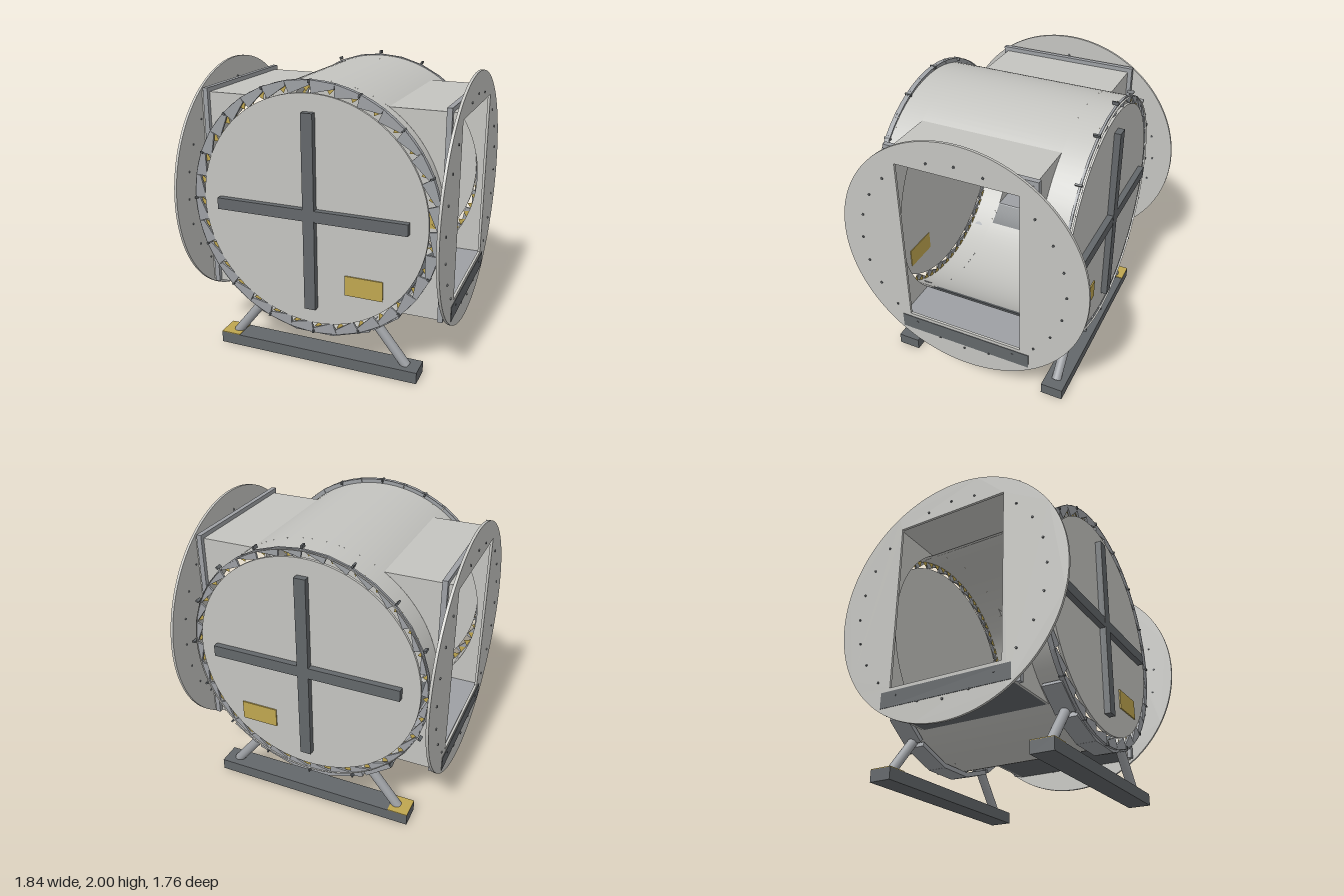
import * as THREE from 'three';
import { mergeGeometries } from 'three/addons/utils/BufferGeometryUtils.js';

export function createModel() {
  const mat = (name, color, side = THREE.FrontSide) => {
    const m = new THREE.MeshStandardMaterial({ color, side });
    m.name = name;
    return m;
  };
  const light = mat('lightGrey', 0xc4c4c0, THREE.DoubleSide);
  const steel = mat('steelGrey', 0x9da0a4, THREE.DoubleSide);
  const dark = mat('darkGrey', 0x63676a);
  const gold = mat('gold', 0xbfa650, THREE.DoubleSide);

  const CY = 1.12, R = 0.845, DUCT = 0.71, DZ = 0.49;
  const model = new THREE.Group();
  const body = new THREE.Group();
  body.name = 'body';
  body.position.y = CY;
  model.add(body);

  const add = (parent, name, geo, material) => {
    const m = new THREE.Mesh(geo, material);
    m.name = name;
    parent.add(m);
    return m;
  };
  // Box given by its lower and upper limits on each axis
  const box = (parent, name, material, x0, x1, y0, y1, z0, z1) => {
    const g = new THREE.BoxGeometry(x1 - x0, y1 - y0, z1 - z0);
    g.translate((x0 + x1) / 2, (y0 + y1) / 2, (z0 + z1) / 2);
    return add(parent, name, g, material);
  };
  const extrude = (shape, depth, z0 = 0, curveSegments = 24) =>
    new THREE.ExtrudeGeometry(shape, { depth, bevelEnabled: false, curveSegments }).translate(0, 0, z0);

  // Drum shell: full bands at the ends, arcs between the duct openings
  const shell = (z0, z1, start, length, segs) =>
    new THREE.CylinderGeometry(R, R, z1 - z0, segs, 1, true, start, length)
      .rotateX(Math.PI / 2).translate(0, 0, (z0 + z1) / 2);
  const half = Math.acos(DUCT / R);
  add(body, 'drumShell', mergeGeometries([
    shell(-0.69, -DZ, 0, Math.PI * 2, 96),
    shell(DZ, 0.66, 0, Math.PI * 2, 96),
    shell(-DZ, DZ, -half, half * 2, 24),
    shell(-DZ, DZ, Math.PI - half, half * 2, 24),
  ]), light);

  // Ends of the drum
  const STEPS = 32, step = Math.PI * 2 / STEPS;
  const polar = (r, a) => new THREE.Vector2(Math.cos(a) * r, Math.sin(a) * r);
  for (const s of [1, -1]) {
    const end = new THREE.Group();
    end.name = s > 0 ? 'frontEnd' : 'backEnd';
    body.add(end);
    const sorted = (a, b) => [Math.min(s * a, s * b), Math.max(s * a, s * b)];

    add(end, 'endDisc', new THREE.CylinderGeometry(0.797, 0.797, 0.02, 96)
      .rotateX(Math.PI / 2).translate(0, 0, s * 0.675), light);
    box(end, 'crossBarHorizontal', dark, -0.675, 0.675, -0.04, 0.04, ...sorted(0.685, 0.728));
    box(end, 'crossBarVertical', dark, -0.04, 0.04, -0.675, 0.68, ...sorted(0.685, 0.73));
    box(end, 'labelPlate', gold, 0.24, 0.505, -0.54, -0.4, ...sorted(0.66, 0.694));

    // Pinwheel blades with gaps, and gold teeth behind them
    const outer = s > 0 ? 0.88 : 0.855;
    const blades = [], teeth = [], pins = [];
    for (let i = 0; i < STEPS; i++) {
      const a = Math.PI / 2 - i * step;
      blades.push(extrude(new THREE.Shape([
        polar(outer, a), polar(0.795, a - step * 0.08),
        polar(0.845, a - step), polar(outer, a - step),
      ]), 0.015, s * 0.67 - 0.0075));
      for (const k of [0.3, 0.8]) {
        const c = a - step * k;
        teeth.push(new THREE.ShapeGeometry(new THREE.Shape([
          polar(R, c - step * 0.2), polar(R, c + step * 0.2), polar(0.8, c),
        ])).translate(0, 0, s * 0.65));
      }
      if (i % 2 === 0) {
        pins.push(new THREE.BoxGeometry(0.022, 0.012, 0.045)
          .translate(0.87, 0, s * 0.665).rotateZ(a));
      }
    }
    add(end, 'blades', mergeGeometries(blades), steel);
    add(end, 'teeth', mergeGeometries(teeth), gold);
    add(end, 'pins', mergeGeometries(pins), dark);
  }
  add(body, 'frontHoop', new THREE.CylinderGeometry(0.878, 0.878, 0.035, 64, 1, true)
    .rotateX(Math.PI / 2).translate(0, 0, 0.662), steel);

  // Side profile of a duct piece, cut to the curve of the drum
  const ductShape = (y0, y1, x1 = 0.9) => {
    const s = new THREE.Shape();
    s.moveTo(x1, y0);
    s.lineTo(x1, y1);
    s.absarc(0, 0, R, Math.asin(y1 / R), Math.asin(y0 / R), true);
    s.closePath();
    return s;
  };

  // Square side ducts with round flanges
  for (const s of [1, -1]) {
    const duct = new THREE.Group();
    duct.name = s > 0 ? 'leftDuct' : 'rightDuct';
    if (s < 0) duct.rotation.y = Math.PI;
    body.add(duct);

    for (const z of [-DZ, DZ - 0.015])
      add(duct, 'ductSide', extrude(ductShape(-DUCT, DUCT), 0.015, z), light);
    add(duct, 'ductTop', extrude(ductShape(0.695, DUCT), DZ * 2, -DZ), light);
    add(duct, 'ductFloor', extrude(ductShape(-DUCT, -0.6, 0.89), 0.95, -0.475), dark);
    add(duct, 'floorPlate', extrude(ductShape(-0.6, -0.594, 0.89), 0.95, -0.475), steel);

    // Rib around the top and both sides
    box(duct, 'topRib', steel, 0.833, 0.868, DUCT, 0.74, -0.52, 0.52);
    for (const z of [-0.52, DZ])
      box(duct, 'sideRib', steel, 0.833, 0.868, -DUCT, 0.74, z, z + 0.03);

    const disc = new THREE.Shape().absarc(0, 0, 0.88, 0, Math.PI * 2);
    disc.holes.push(new THREE.Path([
      new THREE.Vector2(-0.42, -0.575), new THREE.Vector2(-0.42, 0.65),
      new THREE.Vector2(0.42, 0.65), new THREE.Vector2(0.42, -0.575),
    ]));
    add(duct, 'flange', extrude(disc, 0.018, 0.896, 64).rotateY(Math.PI / 2), light);
    box(duct, 'sill', dark, 0.885, 0.918, -DUCT, -0.6, -0.485, 0.485);

    const bolts = [];
    for (let i = 0; i < 24; i++) {
      if (i === 2 || i === 22) continue;
      const a = i * Math.PI / 12;
      bolts.push(new THREE.CylinderGeometry(0.008, 0.008, 0.03, 8).rotateZ(Math.PI / 2)
        .translate(0.906, 0.735 * Math.cos(a), 0.735 * Math.sin(a)));
    }
    add(duct, 'flangeBolts', mergeGeometries(bolts), dark);
  }

  // Stands: skid, slanted struts and a cradle of plates under the drum
  for (const z of [0.59, -0.59]) {
    const stand = new THREE.Group();
    stand.name = z > 0 ? 'frontStand' : 'backStand';
    stand.position.z = z;
    model.add(stand);
    box(stand, 'skid', dark, -0.745, 0.745, 0, 0.083, -0.08, 0.08);
    box(stand, 'skidPad', gold, -0.745, -0.6, 0.083, 0.088, -0.08, 0.08);
    for (const s of [1, -1]) {
      const from = new THREE.Vector3(s * 0.65, 0.075, 0), to = new THREE.Vector3(s * 0.41, 0.38, 0);
      const strut = add(stand, 'strut',
        new THREE.CylinderGeometry(0.034, 0.034, from.distanceTo(to), 20), steel);
      strut.position.copy(from).add(to).multiplyScalar(0.5);
      strut.quaternion.setFromUnitVectors(new THREE.Vector3(0, 1, 0), to.sub(from).normalize());
    }
    for (const deg of [-36, -18, 0, 18, 36]) {
      const plate = add(stand, 'cradlePlate',
        new THREE.BoxGeometry(Math.abs(deg) === 36 ? 0.22 : 0.28, 0.034, 0.14), steel);
      const a = THREE.MathUtils.degToRad(deg);
      plate.position.set(Math.sin(a) * 0.872, CY - Math.cos(a) * 0.872, 0);
      plate.rotation.z = a;
    }
  }
  return model;
}
